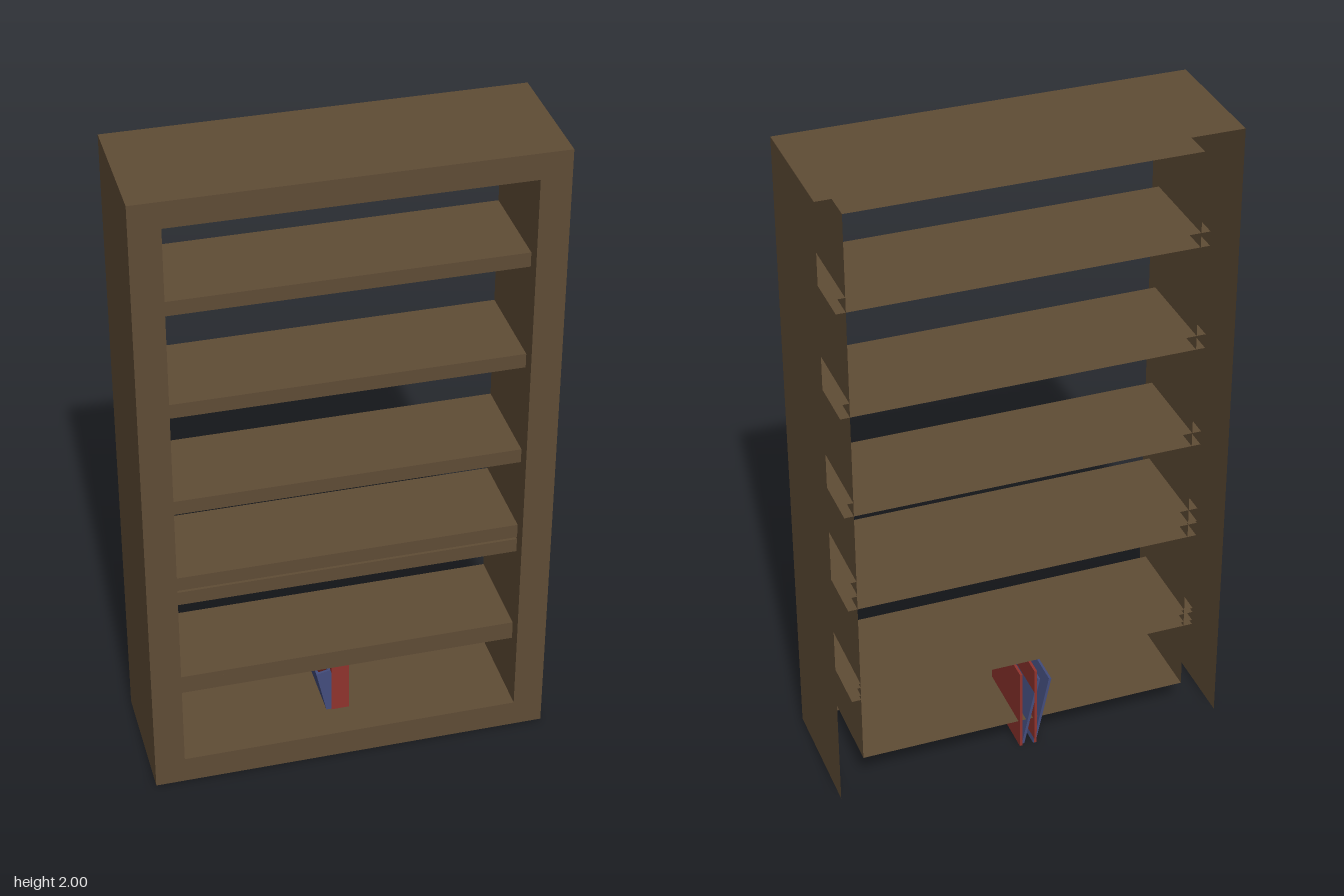
import * as THREE from 'three';

const mat = (name, color) => {
  const m = new THREE.MeshStandardMaterial({ color, side: THREE.DoubleSide });
  m.name = name;
  return m;
};

export function createModel() {
  const wood = mat('brown wood', 0x5f4c35);
  const red = mat('red cover', 0x8f332d);
  const blue = mat('blue cover', 0x434d7d);
  const model = new THREE.Group();
  model.name = 'bookcase';

  // Outer and inner extents of the hollow case
  const W = 0.605, w = 0.515, tuck = 0.543;
  const bottom = 0.01, top = 2, floorY = 0.095, ceilY = 1.92;
  const front = 0.2, back = -0.2, innerBack = -0.143, shelfFront = 0.155;

  const add = (parent, name, geo, material) => {
    const mesh = new THREE.Mesh(geo, material);
    mesh.name = name;
    parent.add(mesh);
    return mesh;
  };
  // Horizontal sheet facing up (or down) between two depths
  const level = (parent, name, half, y, z0, z1, up = true) => {
    const geo = new THREE.PlaneGeometry(half * 2, z1 - z0);
    geo.rotateX(up ? -Math.PI / 2 : Math.PI / 2).translate(0, y, (z0 + z1) / 2);
    return add(parent, name, geo, wood);
  };
  // Upright sheet facing along x
  const upright = (name, x, y0, y1, z0, z1, dir) => {
    const geo = new THREE.PlaneGeometry(z1 - z0, y1 - y0);
    geo.rotateY(dir * Math.PI / 2).translate(x, (y0 + y1) / 2, (z0 + z1) / 2);
    return add(model, name, geo, wood);
  };

  // Front frame with its opening
  const face = new THREE.Shape([[-W, bottom], [W, bottom], [W, top], [-W, top]]
    .map(([x, y]) => new THREE.Vector2(x, y)));
  face.holes.push(new THREE.Path([[-w, floorY], [-w, ceilY], [w, ceilY], [w, floorY]]
    .map(([x, y]) => new THREE.Vector2(x, y))));
  add(model, 'frontFrame', new THREE.ShapeGeometry(face).translate(0, 0, front), wood);

  // Outer sides and inner lining, open at the back and underneath
  for (const s of [-1, 1]) {
    const side = s > 0 ? 'left' : 'right';
    upright(side + 'OuterSide', s * W, bottom, top, back, front, s);
    upright(side + 'InnerSide', s * w, floorY, ceilY, innerBack, front, -s);
  }
  level(model, 'topPanel', W, top, back, front);
  level(model, 'ceiling', w, ceilY, innerBack, front, false);
  level(model, 'floor', w, floorY, innerBack, front);

  // Hollow shelves: top, underside and front edge; the ends tuck into the sides
  const thick = 0.045;
  [1.67, 1.34, 1.013, 0.742, 0.69, 0.375, 0.36].forEach((y, i) => {
    const shelf = new THREE.Group();
    shelf.name = 'shelf' + (i + 1);
    level(shelf, 'shelfTop', tuck, y, innerBack, shelfFront);
    level(shelf, 'shelfUnderside', tuck, y - thick, innerBack, shelfFront, false);
    add(shelf, 'shelfEdge',
      new THREE.PlaneGeometry(tuck * 2, thick).translate(0, y - thick / 2, shelfFront), wood);
    model.add(shelf);
  });

  // Book covers: a spine at the front and two boards
  const book = (name, material, width, height, depth, x, y, z, tilt) => {
    const t = 0.008;
    const g = new THREE.Group();
    g.name = name;
    add(g, 'spine', new THREE.BoxGeometry(width, height, t).translate(0, 0, (depth - t) / 2), material);
    for (const s of [-1, 1]) {
      add(g, 'board', new THREE.BoxGeometry(t, height, depth - t)
        .translate(s * (width - t) / 2, 0, -t / 2), material);
    }
    g.position.set(x, y, z);
    g.rotation.z = tilt;
    model.add(g);
  };
  book('redBook', red, 0.055, 0.273, 0.245, -0.006, 0.1435, -0.032, 0);
  book('blueBook', blue, 0.045, 0.24, 0.24, -0.033, 0.1265, -0.033, 0.21);

  return model;
}
